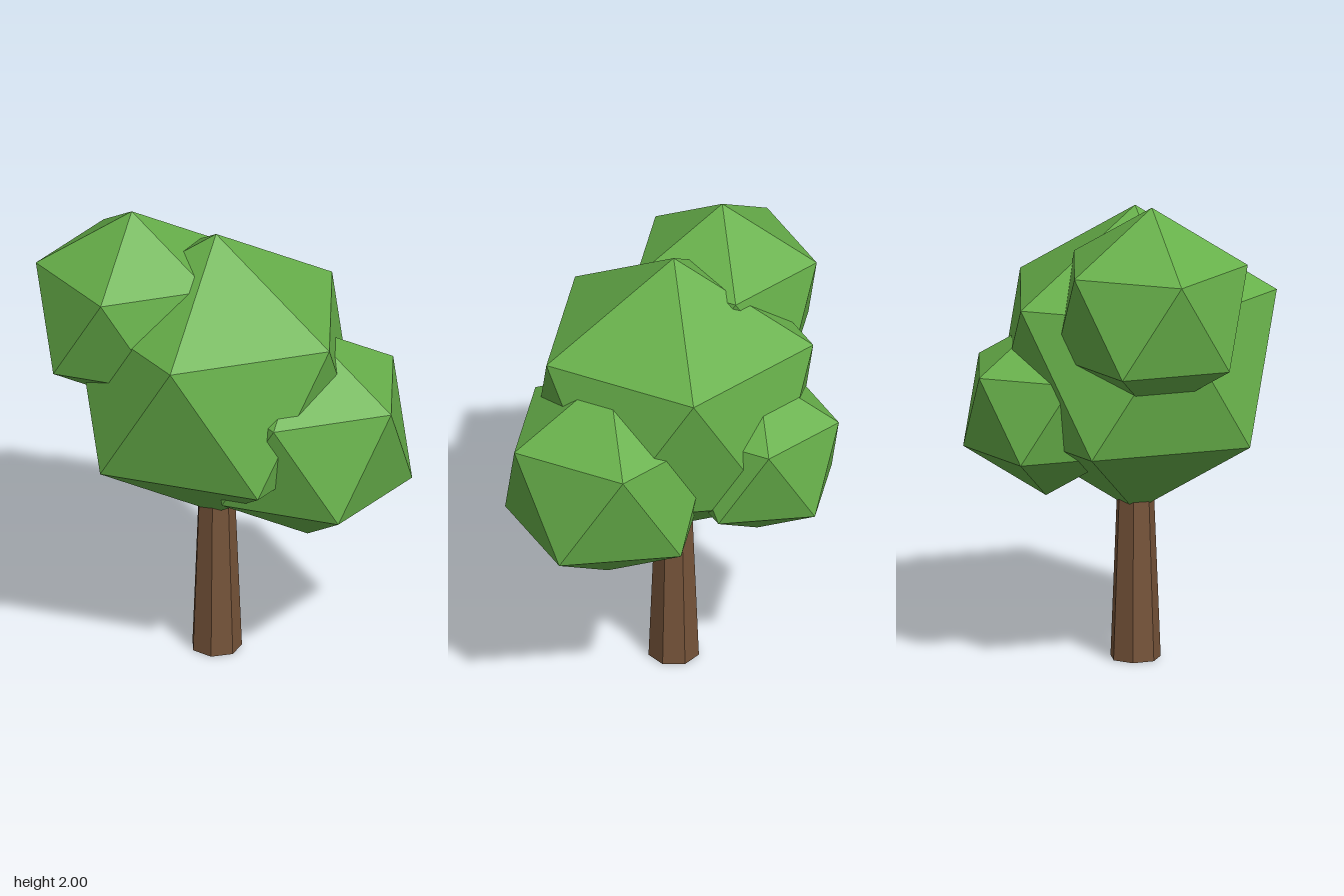
import * as THREE from 'three';

const leafGreen = new THREE.MeshStandardMaterial({ color: 0x67b04a, flatShading: true });
leafGreen.name = 'leafGreen';
const barkBrown = new THREE.MeshStandardMaterial({ color: 0x755339, flatShading: true });
barkBrown.name = 'barkBrown';

// Icosahedron standing on a corner, with an upper-ring corner towards +x
function foliage(name, radius, x, y, z) {
  const geometry = new THREE.IcosahedronGeometry(radius, 0);
  geometry.rotateX(-Math.atan((1 + Math.sqrt(5)) / 2));
  geometry.rotateY(Math.PI / 2);
  const mesh = new THREE.Mesh(geometry, leafGreen);
  mesh.name = name;
  mesh.position.set(x, y, z);
  return mesh;
}

export function createModel() {
  const tree = new THREE.Group();
  tree.name = 'tree';

  // Tapered seven-sided trunk, running up inside the crown
  const height = 1;
  const trunk = new THREE.Mesh(
    new THREE.CylinderGeometry(0.066, 0.106, height, 7, 1, false, Math.PI), barkBrown);
  trunk.name = 'trunk';
  trunk.position.set(-0.05, height / 2, 0.04);
  tree.add(trunk);

  // Crown of overlapping leaf clumps
  tree.add(
    foliage('mainFoliage', 0.65, -0.05, 1.27, 0.04),
    foliage('upperFoliage', 0.44, -0.355, 1.56, 0.21),
    foliage('sideFoliage', 0.48, 0.316, 1.06, -0.097),
    foliage('backFoliage', 0.38, -0.28, 1.1, -0.27));
  return tree;
}
